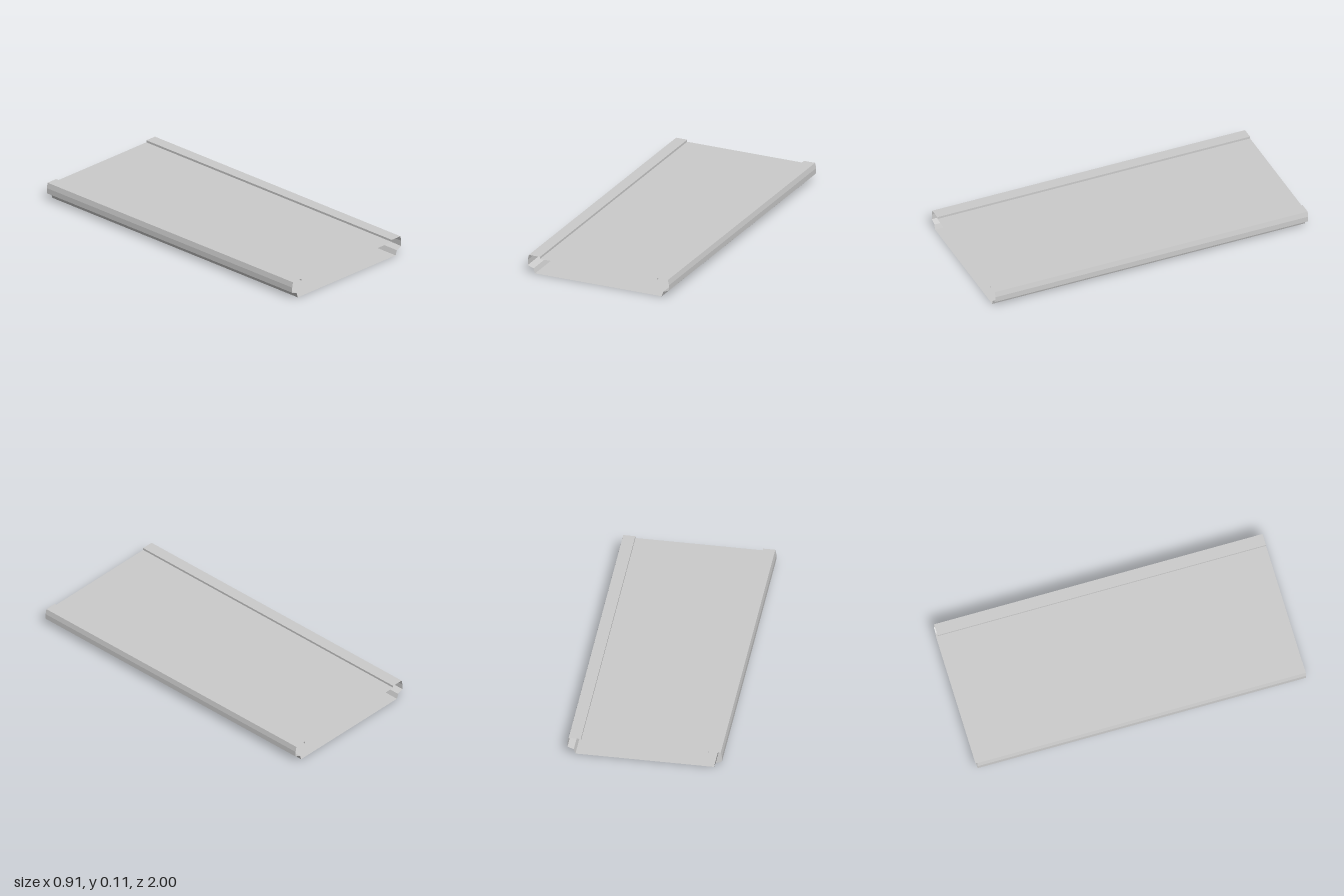
import * as THREE from 'three';

const HALF_LENGTH = 1;

const material = new THREE.MeshStandardMaterial({
  color: 0xcccccc,
  flatShading: true,
  side: THREE.DoubleSide,
});

// Sweeps an open profile of [x, y] points along z as thin folded sheet;
// profiles run clockwise seen from the front so faces point outward.
function sheet(name, profile) {
  const positions = [];
  for (let i = 0; i < profile.length - 1; i++) {
    const [ax, ay] = profile[i];
    const [bx, by] = profile[i + 1];
    const a0 = [ax, ay, -HALF_LENGTH], a1 = [ax, ay, HALF_LENGTH];
    const b0 = [bx, by, -HALF_LENGTH], b1 = [bx, by, HALF_LENGTH];
    positions.push(...a0, ...a1, ...b1, ...a0, ...b1, ...b0);
  }
  const geometry = new THREE.BufferGeometry();
  geometry.setAttribute('position', new THREE.Float32BufferAttribute(positions, 3));
  geometry.computeVertexNormals();
  const mesh = new THREE.Mesh(geometry, material);
  mesh.name = name;
  return mesh;
}

const mirrored = (profile) => profile.map(([x, y]) => [-x, y]).reverse();

export function createModel() {
  const group = new THREE.Group();
  group.name = 'foldedPanel';

  // Recessed top panel and flat underside, open at both ends
  group.add(sheet('topPanel', [[-0.378, 0.097], [0.378, 0.097]]));
  group.add(sheet('bottomPanel', [[0.41, 0], [-0.41, 0]]));

  // Raised flange with its small step, and the folded side wall below it
  const flange = [[0.378, 0.097], [0.378, 0.11], [0.45, 0.11]];
  const wall = [[0.45, 0.11], [0.457, 0.078], [0.457, 0.045], [0.42, 0.03], [0.41, 0]];
  group.add(sheet('leftFlange', flange), sheet('leftWall', wall));
  group.add(sheet('rightFlange', mirrored(flange)), sheet('rightWall', mirrored(wall)));

  return group;
}
